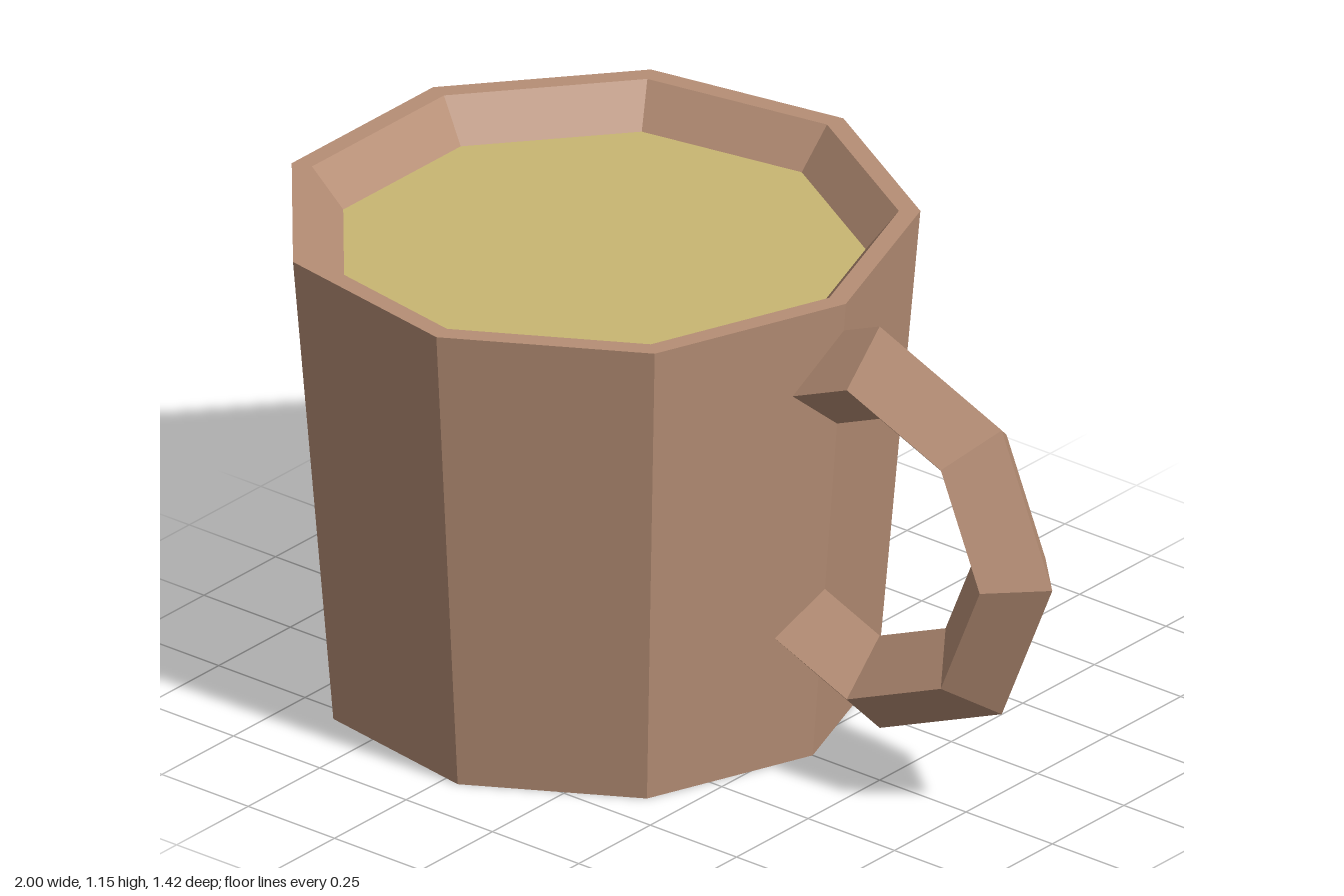
import * as THREE from 'three';

export function createModel() {
  const model = new THREE.Group();
  model.name = 'mug';

  const clay = new THREE.MeshStandardMaterial({ name: 'brown clay', color: 0xb68e75, flatShading: true });
  const tea = new THREE.MeshStandardMaterial({ name: 'pale tea', color: 0xc8b672, flatShading: true });

  const sides = 9, centreX = -0.32, height = 1.155, drinkY = 1.06, drinkRadius = 0.6;

  const add = (name, geometry, material, x, y) => {
    const mesh = new THREE.Mesh(geometry, material);
    mesh.name = name;
    mesh.position.set(x, y, 0);
    model.add(mesh);
  };

  // Tapered nine-sided cup: base, outer wall, rim and sloping inner lip
  const profile = [
    [0, 0], [0.626, 0], [0.722, height], [0.674, height], [drinkRadius, drinkY],
  ].map(([r, y]) => new THREE.Vector2(r, y));
  add('cup', new THREE.LatheGeometry(profile, sides, Math.PI / 2), clay, centreX, 0);

  // Drink surface closing the inside of the lip
  const surface = new THREE.CircleGeometry(drinkRadius, sides).rotateX(-Math.PI / 2);
  add('drink', surface, tea, centreX, drinkY);

  // Octagonal ring handle of diamond section, its ends buried in the cup
  const ring = new THREE.TorusGeometry(0.385, 0.115, 4, 6, Math.PI * 1.5).rotateZ(-Math.PI * 0.75);
  add('handle', ring, clay, 0.5, 0.63);

  return model;
}
